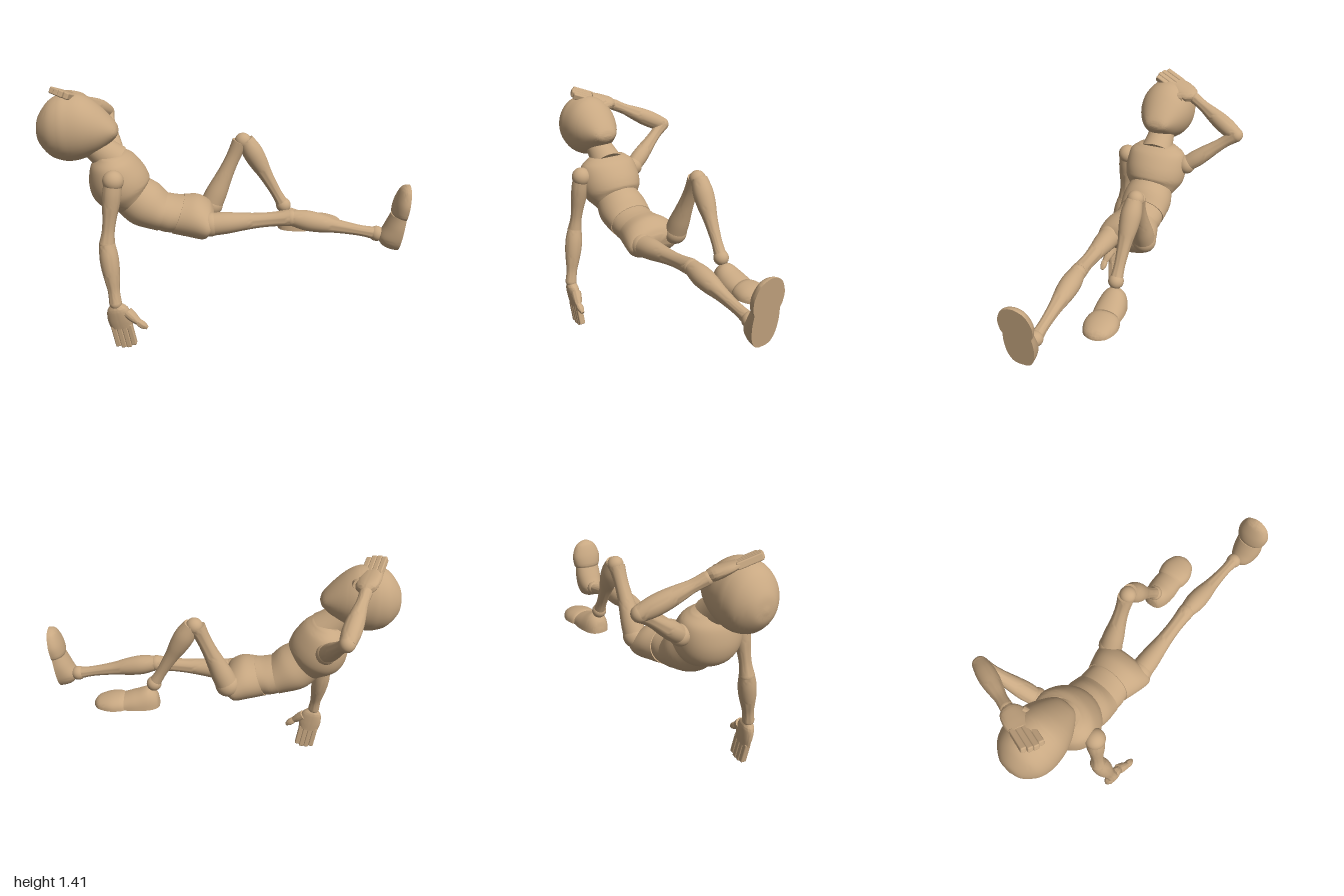
import * as THREE from 'three';
import { toCreasedNormals } from 'three/addons/utils/BufferGeometryUtils.js';
import { RoundedBoxGeometry } from 'three/addons/geometries/RoundedBoxGeometry.js';

const wood = new THREE.MeshStandardMaterial({ color: 0xc8a882 });
const V = (x, y, z) => new THREE.Vector3(x, y, z);

function add(parent, name, geometry) {
  const mesh = new THREE.Mesh(geometry, wood);
  mesh.name = name;
  parent.add(mesh);
  return mesh;
}

// Smooth skin over sections [x1, y1, x2, y2, halfWidth]; each is an ellipse between
// two outline points, or a dome on a flat sole when flat is set.
function loft(parent, name, sections, z = 0, flat = false) {
  const curve = f => new THREE.CatmullRomCurve3(sections.map(f), false, 'catmullrom', 0.5);
  const c1 = curve(s => V(s[0], s[1], 0)), c2 = curve(s => V(s[2], s[3], 0)), cw = curve(s => V(s[4], 0, 0));
  const n = 40, rows = (sections.length - 1) * 6, pos = [], idx = [];
  for (let i = 0; i <= rows; i++) {
    const p = c1.getPoint(i / rows), q = c2.getPoint(i / rows), w = cw.getPoint(i / rows).x;
    for (let j = 0; j < n; j++) {
      const a = j / n * Math.PI * 2, c = Math.cos(a);
      const k = flat ? Math.pow(Math.max(0, c), 0.8) : (c + 1) / 2;
      const v = q.clone().lerp(p, k);
      pos.push(v.x, v.y, z + w * Math.sin(a));
    }
  }
  for (let i = 0; i < rows; i++) for (let j = 0; j < n; j++) {
    const a = i * n + j, b = i * n + (j + 1) % n;
    idx.push(a, b, a + n, b, b + n, a + n);
  }
  // End caps
  for (const [row, end] of [[0, false], [rows, true]]) {
    const s = sections[end ? sections.length - 1 : 0], c = pos.length / 3;
    pos.push((s[0] + s[2]) / 2, (s[1] + s[3]) / 2, z);
    for (let j = 0; j < n; j++) {
      const a = row * n + j, b = row * n + (j + 1) % n;
      idx.push(c, end ? a : b, end ? b : a);
    }
  }
  const g = new THREE.BufferGeometry();
  g.setAttribute('position', new THREE.Float32BufferAttribute(pos, 3));
  g.setIndex(idx);
  return add(parent, name, toCreasedNormals(g, 0.75));
}

// Turned piece from a to b with evenly spaced radii
function limb(parent, name, a, b, radii) {
  const len = a.distanceTo(b);
  const spline = new THREE.SplineCurve(radii.map((r, i) => new THREE.Vector2(r, i / (radii.length - 1) * len)));
  const pts = [new THREE.Vector2(0, 0), ...spline.getPoints(24), new THREE.Vector2(0, len)];
  const mesh = add(parent, name, toCreasedNormals(new THREE.LatheGeometry(pts, 28), 0.75));
  mesh.position.copy(a);
  mesh.quaternion.setFromUnitVectors(V(0, 1, 0), b.clone().sub(a).normalize());
}

function ball(parent, name, p, r) {
  add(parent, name, new THREE.SphereGeometry(r, 28, 18)).position.copy(p);
}

// Foot: heel at the origin, toe towards local +x, sole on y = 0
function foot(parent, name, p, ry, rz) {
  const g = new THREE.Group();
  g.name = name;
  loft(g, 'heel', [[0, 0.025, 0, 0, 0.02], [0.015, 0.08, 0.015, 0, 0.05], [0.06, 0.112, 0.06, 0, 0.073],
    [0.13, 0.09, 0.13, 0, 0.082], [0.2, 0.066, 0.2, 0, 0.078]], 0, true);
  loft(g, 'toe', [[0.195, 0.058, 0.195, 0, 0.076], [0.22, 0.068, 0.22, 0, 0.088], [0.28, 0.064, 0.28, 0, 0.092],
    [0.345, 0.045, 0.345, 0, 0.066], [0.37, 0.022, 0.37, 0, 0.028], [0.376, 0.006, 0.376, 0, 0.005]], 0, true);
  g.position.copy(p);
  g.rotation.set(0, ry, rz);
  parent.add(g);
}

// Hand: wrist at the origin, fingers along local -y, thumb on +x
function hand(parent, name, p, dir, across, thumbZ) {
  const g = new THREE.Group();
  g.name = name;
  loft(g, 'palm', [[0.03, 0.01, -0.03, 0.01, 0.026], [0.06, -0.02, -0.055, -0.02, 0.033],
    [0.07, -0.08, -0.066, -0.08, 0.03], [0.06, -0.135, -0.06, -0.135, 0.024]]);
  for (let i = 0; i < 4; i++) {
    const len = [0.135, 0.145, 0.142, 0.13][i];
    const f = add(g, 'finger', new RoundedBoxGeometry(0.0295, len, 0.036, 2, 0.007));
    f.position.set(0.0435 - i * 0.029, -0.12 - len / 2, 0);
  }
  limb(g, 'thumbBase', V(0.05, -0.045, 0), V(0.1, -0.105, thumbZ), [0.03, 0.027, 0.019]);
  limb(g, 'thumbTip', V(0.095, -0.1, thumbZ), V(0.14, -0.15, thumbZ), [0.017, 0.021, 0.019, 0.01]);
  const y = dir.clone().normalize().negate();
  const x = across.clone().addScaledVector(y, -across.dot(y)).normalize();
  g.quaternion.setFromRotationMatrix(new THREE.Matrix4().makeBasis(x, y, x.clone().cross(y)));
  g.position.copy(p);
  parent.add(g);
}

function arm(parent, side, shoulder, elbow, wrist) {
  ball(parent, side + 'Shoulder', shoulder, 0.056);
  limb(parent, side + 'UpperArm', shoulder, elbow, [0.046, 0.05, 0.045, 0.037, 0.034, 0.042]);
  ball(parent, side + 'Elbow', elbow, 0.042);
  limb(parent, side + 'Forearm', elbow, wrist, [0.042, 0.05, 0.049, 0.041, 0.032, 0.034]);
  ball(parent, side + 'Wrist', wrist, 0.034);
}

function leg(parent, side, hip, knee, kneeLow, ankle) {
  ball(parent, side + 'Hip', hip, 0.068);
  limb(parent, side + 'Thigh', hip, knee, [0.064, 0.06, 0.05, 0.042, 0.04, 0.046]);
  ball(parent, side + 'Knee', knee.clone().lerp(kneeLow, 0.5), 0.046);
  limb(parent, side + 'Shin', kneeLow, ankle, [0.044, 0.056, 0.052, 0.04, 0.033, 0.03, 0.036]);
  ball(parent, side + 'Ankle', ankle, 0.042);
}

export function createModel() {
  const model = new THREE.Group();
  model.name = 'recliningMannequin';

  // Egg-shaped head, chin towards +x
  loft(model, 'head', [[-1, 1.165, -1, 1.145, 0.01], [-0.985, 1.235, -0.985, 1.085, 0.07],
    [-0.93, 1.312, -0.93, 1.02, 0.13], [-0.87, 1.345, -0.87, 0.995, 0.154], [-0.82, 1.35, -0.82, 0.99, 0.158],
    [-0.76, 1.345, -0.765, 1.0, 0.154], [-0.71, 1.32, -0.71, 1.022, 0.14], [-0.66, 1.278, -0.66, 1.05, 0.117],
    [-0.61, 1.225, -0.61, 1.09, 0.085], [-0.58, 1.185, -0.58, 1.12, 0.055], [-0.57, 1.155, -0.57, 1.145, 0.015]], 0.095);
  limb(model, 'neck', V(-0.6, 0.98, 0.09), V(-0.77, 1.13, 0.09), [0.095, 0.083, 0.074, 0.07]);

  // Torso pieces from collar to hips
  const torso = (name, s) => loft(model, name, s, 0.085);
  torso('chest', [[-0.54, 1.03, -0.69, 1.012, 0.115], [-0.49, 1.0, -0.73, 0.95, 0.168],
    [-0.44, 0.94, -0.74, 0.84, 0.185], [-0.415, 0.885, -0.7, 0.75, 0.175], [-0.42, 0.86, -0.59, 0.69, 0.135]]);
  torso('belly', [[-0.42, 0.87, -0.61, 0.71, 0.128], [-0.365, 0.835, -0.52, 0.625, 0.147],
    [-0.32, 0.785, -0.38, 0.58, 0.14]]);
  torso('waist', [[-0.322, 0.782, -0.38, 0.585, 0.134], [-0.27, 0.772, -0.34, 0.572, 0.137], [-0.22, 0.768, -0.3, 0.567, 0.132]]);
  torso('pelvis', [[-0.225, 0.772, -0.302, 0.562, 0.138], [-0.15, 0.768, -0.21, 0.545, 0.163],
    [-0.09, 0.73, -0.13, 0.535, 0.174], [-0.065, 0.685, -0.095, 0.565, 0.158]]);

  // Hanging arm and the arm raised over the forehead
  arm(model, 'left', V(-0.59, 0.93, 0.275), V(-0.635, 0.59, 0.315), V(-0.6, 0.27, 0.378));
  hand(model, 'leftHand', V(-0.597, 0.25, 0.378), V(0.045, -0.25, -0.015), V(1, 0, 0.05), 0.02);
  arm(model, 'right', V(-0.61, 0.92, -0.1), V(-0.685, 1.13, -0.375), V(-0.785, 1.275, -0.085));
  hand(model, 'rightHand', V(-0.785, 1.285, -0.07), V(-0.075, 0.085, 0.23), V(0.1, -0.03, 0.037), -0.02);

  // Stretched leg and bent leg
  leg(model, 'left', V(-0.09, 0.64, 0.18), V(0.345, 0.67, 0.17), V(0.36, 0.67, 0.17), V(0.83, 0.575, 0.178));
  foot(model, 'leftFoot', V(0.94, 0.49, 0.195), 0, 1.44);
  leg(model, 'right', V(-0.08, 0.67, -0.04), V(0.085, 1.035, -0.06), V(0.115, 1.045, -0.06), V(0.335, 0.66, -0.045));
  foot(model, 'rightFoot', V(0.305, 0.525, -0.047), 0.05, 0);

  return model;
}
